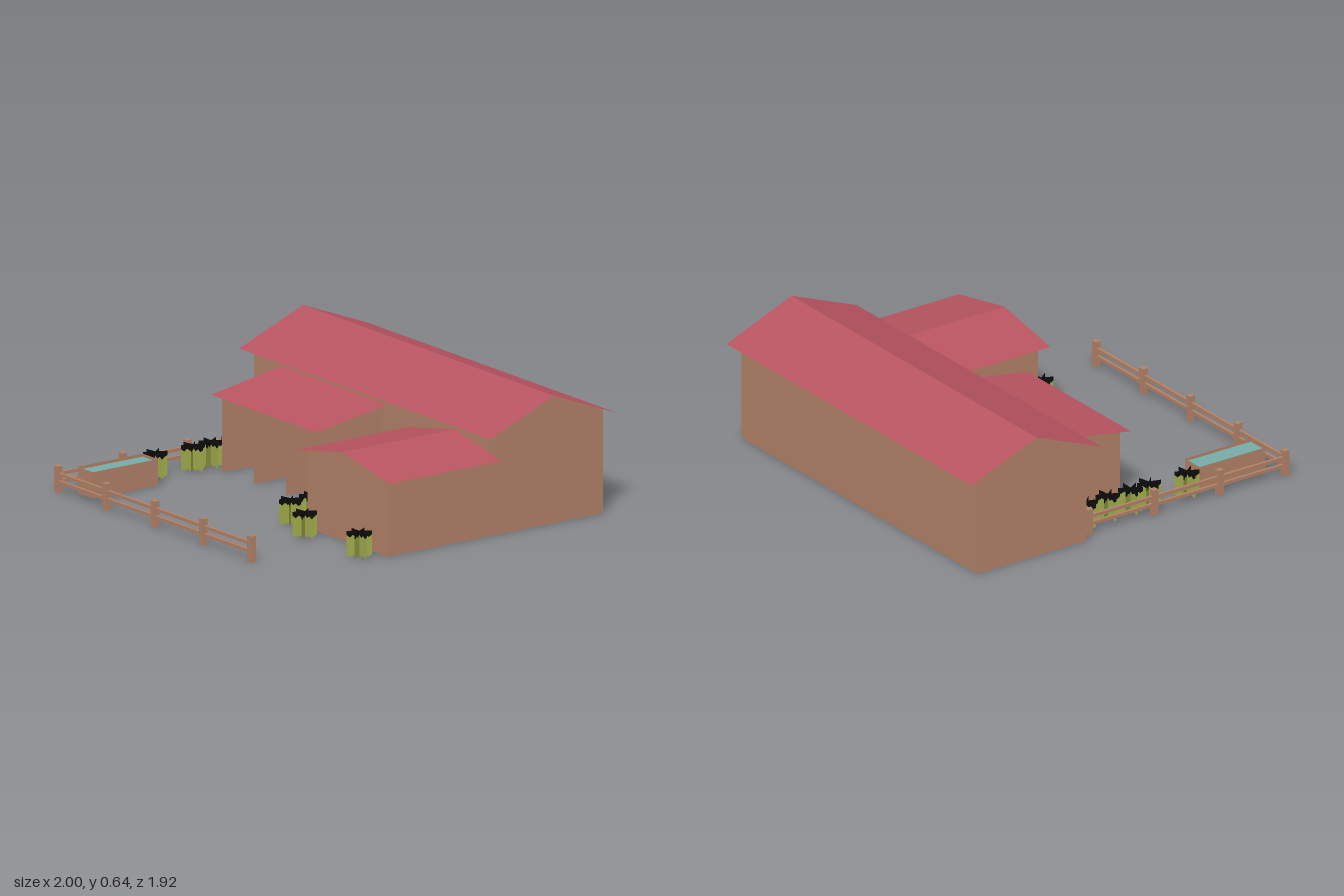
import * as THREE from 'three';

const material = (name, color, side = THREE.DoubleSide) => {
  const m = new THREE.MeshStandardMaterial({ color, side });
  m.name = name;
  return m;
};

export function createModel() {
  const group = new THREE.Group();
  group.name = 'stable';
  const wood = material('brown wood', 0xb18167);
  const red = material('red roofing', 0xb75460);
  const shade = material('dark interior', 0x452f40, THREE.FrontSide);
  const water = material('teal water', 0x76aca7, THREE.FrontSide);
  const leaf = material('leaf green', 0x9ca748);
  const black = material('black leaf tips', 0x0c0c0c);

  const add = (parent, name, geometry, mat) => {
    const mesh = new THREE.Mesh(geometry, mat);
    mesh.name = name;
    parent.add(mesh);
    return mesh;
  };
  const part = (name) => {
    const g = new THREE.Group();
    g.name = name;
    group.add(g);
    return g;
  };
  // Flat convex panel from corner points, counter-clockwise from its front
  const panel = (parent, name, mat, ...points) => {
    const g = new THREE.BufferGeometry();
    g.setAttribute('position', new THREE.Float32BufferAttribute(points.flat(), 3));
    const index = [];
    for (let i = 1; i < points.length - 1; i++) index.push(0, i, i + 1);
    g.setIndex(index);
    g.computeVertexNormals();
    return add(parent, name, g, mat);
  };
  const box = (parent, name, mat, size, pos) =>
    add(parent, name, new THREE.BoxGeometry(...size), mat).position.set(...pos);

  // Main barn: open-bottomed shell with gables at both ends
  const barn = part('barn');
  const [L, R, B, F, M] = [-0.96, 0.945, -0.9, -0.26, -0.58];
  panel(barn, 'frontWall', wood, [L, 0, F], [R, 0, F], [R, 0.51, F], [L, 0.51, F]);
  panel(barn, 'backWall', wood, [R, 0, B], [L, 0, B], [L, 0.51, B], [R, 0.51, B]);
  panel(barn, 'leftGable', wood, [R, 0, F], [R, 0, B], [R, 0.51, B], [R, 0.635, M], [R, 0.51, F]);
  panel(barn, 'rightGable', wood, [L, 0, B], [L, 0, F], [L, 0.51, F], [L, 0.635, M], [L, 0.51, B]);
  panel(barn, 'frontRoof', red, [-1, 0.49, -0.2], [0.985, 0.49, -0.2], [0.985, 0.64, M], [-1, 0.64, M]);
  panel(barn, 'backRoof', red, [0.985, 0.49, -0.96], [-1, 0.49, -0.96], [-1, 0.64, M], [0.985, 0.64, M]);

  // Side wing with its gable to the front
  const wing = part('wing');
  const [wl, wr, wm, wf] = [0.31, 0.945, 0.63, 0.375];
  panel(wing, 'wingGable', wood, [wl, 0, wf], [wr, 0, wf], [wr, 0.382, wf], [wm, 0.445, wf], [wl, 0.382, wf]);
  panel(wing, 'wingLeftWall', wood, [wr, 0, wf], [wr, 0, F], [wr, 0.382, F], [wr, 0.382, wf]);
  panel(wing, 'wingRightWall', wood, [wl, 0, F], [wl, 0, wf], [wl, 0.382, wf], [wl, 0.382, F]);
  panel(wing, 'wingLeftRoof', red, [1, 0.377, 0.41], [1, 0.377, F], [wm, 0.45, F], [wm, 0.45, 0.41]);
  panel(wing, 'wingRightRoof', red, [0.26, 0.377, F], [0.26, 0.377, 0.41], [wm, 0.45, 0.41], [wm, 0.45, F]);

  // Open stalls under a lean-to roof
  const stalls = part('stalls');
  panel(stalls, 'leanToRoof', red, [-0.745, 0.38, 0.155], [0.09, 0.38, 0.155], [0.09, 0.45, F], [-0.745, 0.45, F]);
  panel(stalls, 'stallBack', shade, [-0.705, 0, -0.255], [0.055, 0, -0.255], [0.055, 0.445, -0.255], [-0.705, 0.445, -0.255]);
  for (let i = 0; i < 4; i++) {
    const x = -0.705 + i * 0.2533;
    panel(stalls, 'stallDivider', wood, [x, 0, F], [x, 0, 0.12], [x, 0.383, 0.12], [x, 0.447, F]);
  }

  // Fence along the front and the right side
  const fence = part('fence');
  const postSize = [0.03, 0.13, 0.03];
  for (let i = 0; i < 5; i++) box(fence, 'frontPost', wood, postSize, [-0.9 + i * 0.3825, 0.065, 0.945]);
  for (let i = 1; i < 4; i++) box(fence, 'sidePost', wood, postSize, [-0.9, 0.065, 0.945 - i * 0.3825]);
  for (const y of [0.051, 0.09]) {
    box(fence, 'frontRail', wood, [1.53, 0.016, 0.014], [-0.135, y, 0.945]);
    box(fence, 'sideRail', wood, [0.014, 0.016, 1.147], [-0.9, y, 0.371]);
  }

  // Water trough with thin sides
  const trough = part('trough');
  const rim = [[-0.825, 0.885], [-0.705, 0.885], [-0.705, 0.5], [-0.825, 0.5]];
  rim.forEach(([x, z], i) => {
    const [x2, z2] = rim[(i + 1) % 4];
    panel(trough, 'troughSide', wood, [x, 0, z], [x2, 0, z2], [x2, 0.13, z2], [x, 0.13, z]);
  });
  panel(trough, 'waterSurface', water, ...rim.map(([x, z]) => [x, 0.115, z]));

  // Bushes: three crossed cards, green with ragged black tips
  const half = 0.06, steps = 8;
  const card = (bottom, top) => {
    const s = new THREE.Shape();
    for (let i = 0; i <= steps; i++) {
      const x = -half + (2 * half * i) / steps;
      if (i) s.lineTo(x, bottom(i)); else s.moveTo(x, bottom(i));
    }
    for (let i = steps; i >= 0; i--) s.lineTo(-half + (2 * half * i) / steps, top(i));
    return new THREE.ShapeGeometry(s);
  };
  const middle = (i) => (i % 2 ? 0.098 : 0.11);
  const greenCard = card((i) => (i % 2 ? 0.002 : 0.012), middle);
  const tipCard = card(middle, () => 0.13);
  const spots = [
    [0.87, 0.487], [0.44, 0.487],
    [0.22, 0.405], [0.215, 0.28], [0.2, 0.14], [0.19, 0], [0.17, -0.13],
    [-0.82, 0.43], [-0.815, 0.21], [-0.82, 0.1], [-0.815, -0.03], [-0.82, -0.16],
  ];
  spots.forEach(([x, z], n) => {
    const bush = part('bush');
    bush.position.set(x, 0, z);
    for (let k = 0; k < 3; k++) {
      const angle = (k * Math.PI) / 3 + (n % 3) * 0.12;
      add(bush, 'leaves', greenCard, leaf).rotation.y = angle;
      add(bush, 'leafTips', tipCard, black).rotation.y = angle;
    }
  });

  return group;
}
